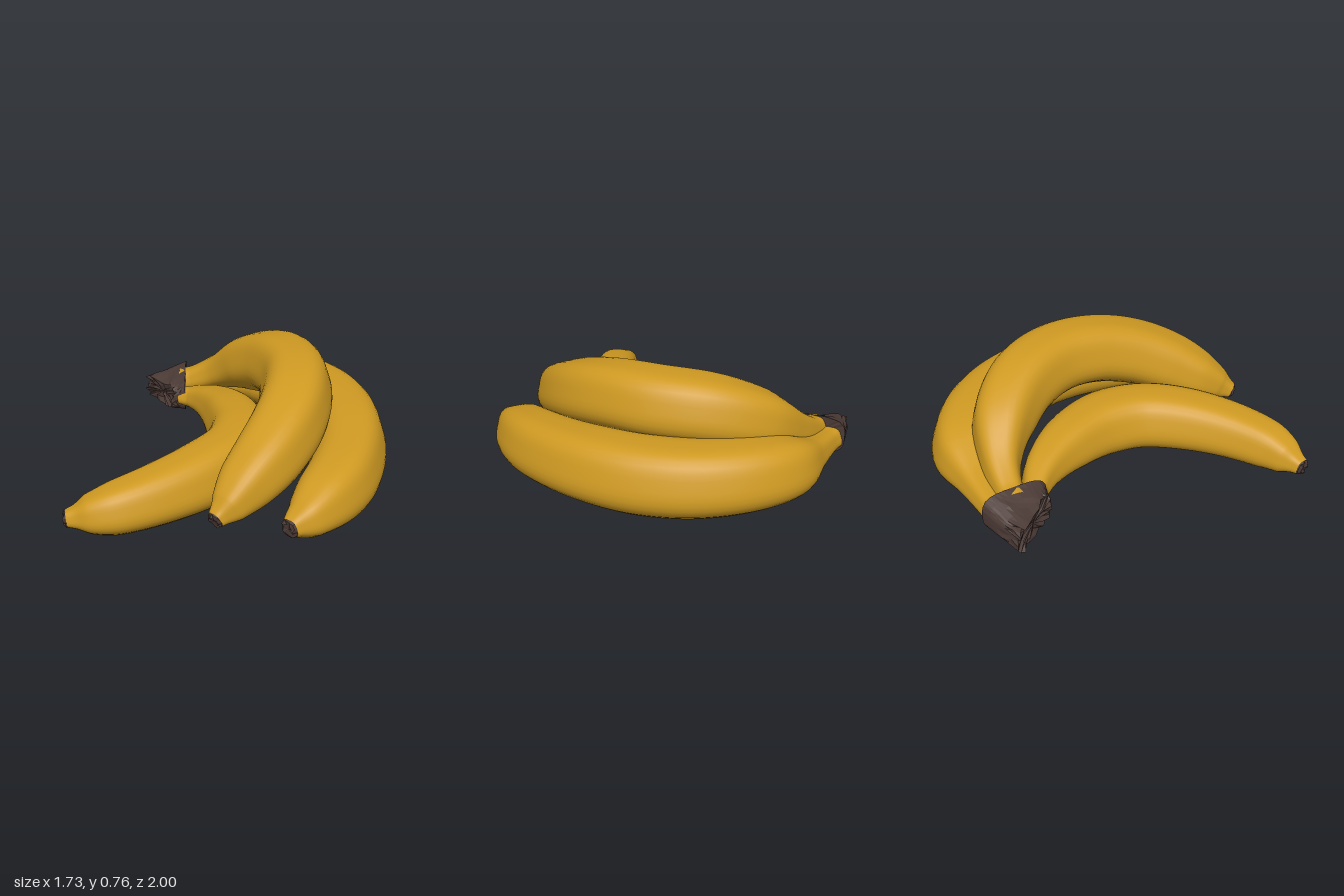
import * as THREE from 'three';

const peel = new THREE.MeshStandardMaterial({ color: 0xcf9a22 });
peel.name = 'ripe yellow peel';
const bark = new THREE.MeshStandardMaterial({ color: 0x4c3b36 });
bark.name = 'dark brown stem';

// Skin a grid of closed rings; faceted gives rough, hard-edged surfaces
function skin(rings, faceted) {
  const n = rings[0].length, index = [];
  for (let i = 0; i < rings.length - 1; i++) {
    for (let j = 0; j < n; j++) {
      const a = i * n + j, b = i * n + (j + 1) % n;
      index.push(a, b, a + n, b, b + n, a + n);
    }
  }
  let geo = new THREE.BufferGeometry().setFromPoints(rings.flat());
  geo.setIndex(index);
  if (faceted) geo = geo.toNonIndexed();
  geo.computeVertexNormals();
  return geo;
}

function add(group, name, geo, material) {
  const mesh = new THREE.Mesh(geo, material);
  mesh.name = name;
  group.add(mesh);
}

// Repeatable roughness in -1..1
function makeNoise(seed) {
  return () => {
    seed = (seed * 16807) % 2147483647;
    return (seed / 2147483647) * 2 - 1;
  };
}

// Ring across a direction, with softly five-sided profile
function ringAt(centre, tangent, r, sides, ridge) {
  const side = new THREE.Vector3(0, 1, 0).cross(tangent).normalize();
  const up = tangent.clone().cross(side);
  return Array.from({ length: sides }, (_, j) => {
    const a = (j / sides) * Math.PI * 2;
    const k = r * (1 + ridge * Math.cos(5 * (a - 0.95)));
    return centre.clone().addScaledVector(side, k * Math.cos(a)).addScaledVector(up, k * Math.sin(a));
  });
}

// stations: [x, y, z, radius] from the stem to the blossom end
function banana(name, stations, seed) {
  const group = new THREE.Group();
  group.name = name;
  const path = new THREE.CatmullRomCurve3(stations.map(s => new THREE.Vector3(s[0], s[1], s[2])));
  const radius = new THREE.CatmullRomCurve3(stations.map(s => new THREE.Vector3(s[3], 0, 0)), false, 'catmullrom', 0.5);
  const rings = [];
  for (let i = 0; i <= 72; i++) {
    const t = i / 72;
    rings.push(ringAt(path.getPoint(t), path.getTangent(t), radius.getPoint(t).x, 40, 0.04));
  }
  add(group, 'peel', skin(rings, false), peel);

  // Withered blossom tip
  const noise = makeNoise(seed);
  const end = path.getPoint(1), dir = path.getTangent(1), r = stations.at(-1)[3];
  const tip = [[-0.012, 1.03], [0.008, 0.95], [0.018, 0.6], [0.012, 0]].map(([d, k]) =>
    ringAt(end.clone().addScaledVector(dir, d), dir, r * k, 14, 0.05));
  tip[1].concat(tip[2]).forEach(p => p.addScaledVector(dir, noise() * 0.008));
  add(group, 'blossomTip', skin(tip, true), bark);
  return group;
}

// Shared stem: rounded wedge around the three necks, narrowing to a torn end
function crown() {
  const noise = makeNoise(77);
  const sides = 40, steps = 5;
  const lerp = THREE.MathUtils.lerp;
  const soften = v => Math.sign(v) * Math.pow(Math.abs(v), 0.6);
  const section = (t, scale, rough) => Array.from({ length: sides }, (_, j) => {
    const a = (j / sides) * Math.PI * 2;
    const u = 0.5 + 0.5 * scale * soften(Math.cos(a));
    const y = lerp(0.22, 0.195, u) - 0.055 * t * (1 - 0.6 * u) + lerp(0.118, 0.075, t) * scale * soften(Math.sin(a));
    const x = lerp(lerp(-0.475, -0.425, u), lerp(-0.73, -0.5, u), t);
    const z = lerp(lerp(-0.93, -0.53, u), lerp(-0.835, -0.545, u), t);
    return new THREE.Vector3(x + noise() * rough, y + noise() * rough * 0.3, z + noise() * rough * 0.3);
  });
  const rings = [section(0, 0, 0)];
  for (let i = 0; i <= steps; i++) rings.push(section(i / steps, 1, 0.003 + 0.02 * (i / steps) ** 2));
  rings.push(section(0.95, 0.6, 0.015), section(0.92, 0, 0));
  return skin(rings, true);
}

export function createModel() {
  const model = new THREE.Group();
  model.name = 'bananaBunch';

  model.add(banana('innerBanana', [
    [-0.46, 0.185, -0.588, 0.056], [-0.37, 0.19, -0.567, 0.078], [-0.24, 0.205, -0.46, 0.117],
    [-0.1, 0.21, -0.25, 0.165], [-0.01, 0.205, 0.02, 0.194], [-0.035, 0.2, 0.28, 0.198],
    [-0.17, 0.193, 0.5, 0.192], [-0.38, 0.178, 0.705, 0.172], [-0.6, 0.157, 0.848, 0.146],
    [-0.73, 0.142, 0.893, 0.108], [-0.79, 0.135, 0.91, 0.07], [-0.84, 0.13, 0.922, 0.05]], 11));

  model.add(banana('topBanana', [
    [-0.475, 0.24, -0.74, 0.077], [-0.38, 0.26, -0.737, 0.085], [-0.22, 0.33, -0.708, 0.115],
    [-0.02, 0.44, -0.605, 0.178], [0.175, 0.525, -0.4, 0.205], [0.3, 0.547, -0.13, 0.21],
    [0.323, 0.527, 0.15, 0.208], [0.283, 0.465, 0.4, 0.203], [0.19, 0.375, 0.62, 0.187],
    [0.085, 0.29, 0.78, 0.152], [0.012, 0.228, 0.89, 0.1], [-0.02, 0.205, 0.93, 0.067],
    [-0.042, 0.19, 0.957, 0.05]], 23));

  model.add(banana('outerBanana', [
    [-0.475, 0.195, -0.84, 0.077], [-0.38, 0.2, -0.842, 0.078], [-0.18, 0.217, -0.845, 0.108],
    [0.05, 0.24, -0.82, 0.182], [0.26, 0.252, -0.71, 0.208], [0.465, 0.25, -0.49, 0.22],
    [0.592, 0.245, -0.22, 0.224], [0.64, 0.24, 0.05, 0.22], [0.63, 0.225, 0.32, 0.21],
    [0.58, 0.21, 0.55, 0.197], [0.5, 0.195, 0.73, 0.17], [0.423, 0.175, 0.86, 0.122],
    [0.37, 0.165, 0.922, 0.078], [0.343, 0.16, 0.957, 0.055]], 37));

  add(model, 'crownStem', crown(), bark);
  return model;
}
